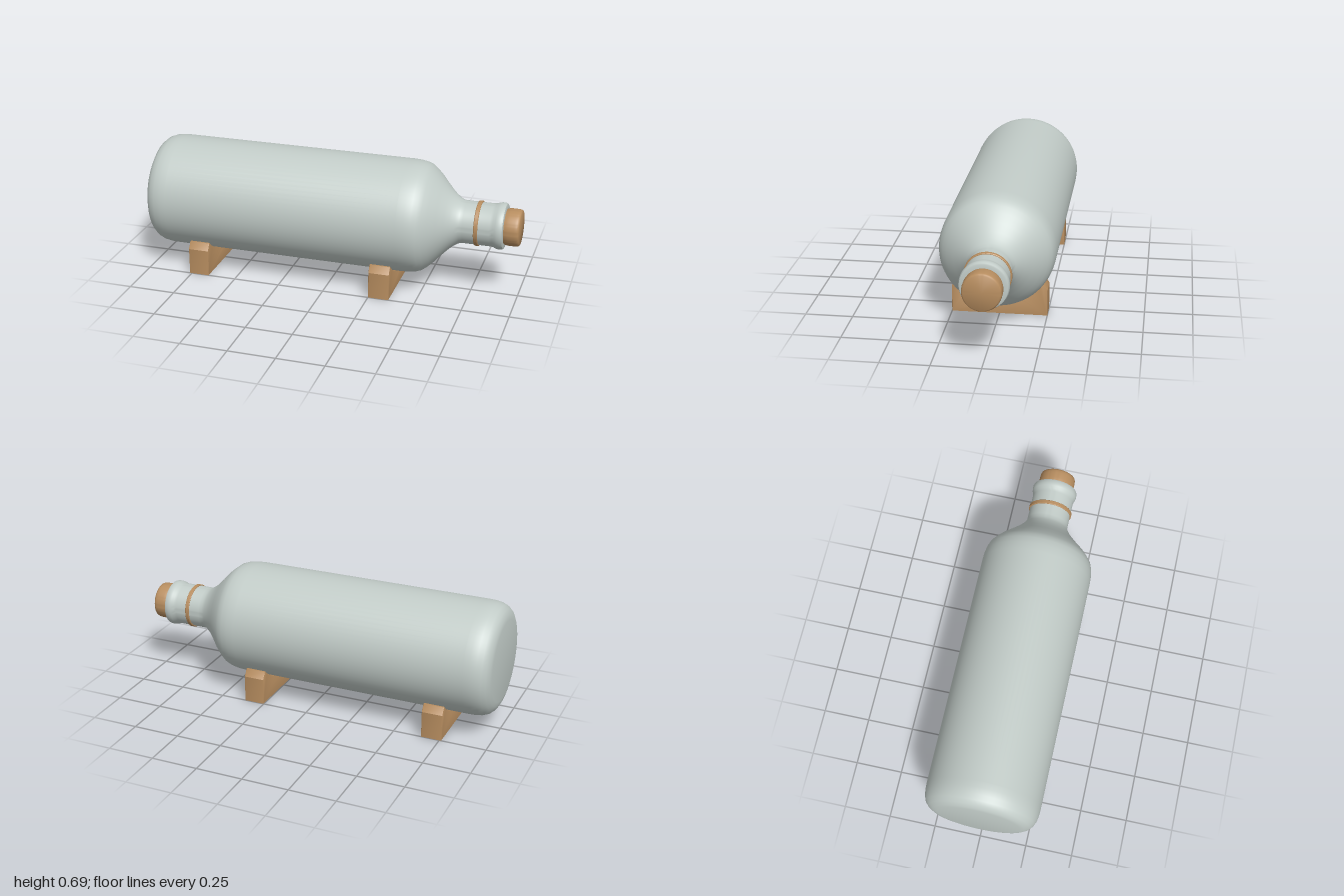
import * as THREE from 'three';
import { toCreasedNormals } from 'three/addons/utils/BufferGeometryUtils.js';

const AXIS_Y = 0.39;

export function createModel() {
  const model = new THREE.Group();
  model.name = 'bottleOnCradles';
  const glass = new THREE.MeshStandardMaterial({ color: 0xc2ccc8 });
  glass.name = 'paleGreyGreen';
  const wood = new THREE.MeshStandardMaterial({ color: 0xb88e60 });
  wood.name = 'warmWood';

  // Turned part lying along x; each profile point is [x, radius]
  function turned(name, profile, material, crease = 0.7) {
    const points = profile.map(([x, r]) => new THREE.Vector2(r, x));
    const geometry = toCreasedNormals(new THREE.LatheGeometry(points, 72), crease);
    geometry.rotateZ(-Math.PI / 2);
    const mesh = new THREE.Mesh(geometry, material);
    mesh.name = name;
    mesh.position.y = AXIS_Y;
    model.add(mesh);
  }

  // Bottle: flat base, rounded heel, body, sloping shoulder, neck and lip
  turned('bottle', [
    [-1, 0], [-1, 0.215], [-0.995, 0.24], [-0.982, 0.265], [-0.962, 0.283],
    [-0.935, 0.294], [-0.9, 0.299], [-0.87, 0.3], [0.4, 0.3], [0.44, 0.298],
    [0.475, 0.292], [0.5, 0.283], [0.522, 0.266], [0.55, 0.241], [0.585, 0.202],
    [0.62, 0.165], [0.645, 0.142], [0.67, 0.124], [0.69, 0.114], [0.71, 0.113],
    [0.85, 0.113], [0.866, 0.115], [0.88, 0.121], [0.892, 0.123], [0.908, 0.123],
    [0.917, 0.119], [0.92, 0.112], [0.92, 0.085],
  ], glass);

  // Thin band around the neck
  turned('neckBand', [
    [0.768, 0.11], [0.768, 0.116], [0.771, 0.119], [0.787, 0.119], [0.79, 0.116], [0.79, 0.11],
  ], wood);

  // Stopper with softened rims
  turned('cork', [
    [0.9, 0.09], [0.918, 0.093], [0.93, 0.096], [0.945, 0.098], [0.975, 0.098],
    [0.988, 0.097], [0.996, 0.094], [1, 0.088], [1, 0],
  ], wood);

  // Cradle outline with a circular saddle and cut corners
  const bevel = 0.004, width = 0.112;
  const radius = 0.302 + bevel, top = 0.18 - bevel, half = 0.25 - bevel;
  const saddle = Math.asin((AXIS_Y - top) / radius);
  const outline = new THREE.Shape();
  outline.moveTo(-half, bevel);
  outline.lineTo(half, bevel);
  outline.lineTo(half, 0.142);
  outline.lineTo(radius * Math.cos(saddle) + 0.006, top);
  outline.absarc(0, AXIS_Y, radius, -saddle, -Math.PI + saddle, true);
  outline.lineTo(-radius * Math.cos(saddle) - 0.006, top);
  outline.lineTo(-half, 0.142);
  outline.closePath();
  const cradle = new THREE.ExtrudeGeometry(outline, {
    depth: width - 2 * bevel, bevelEnabled: true, bevelSize: bevel,
    bevelThickness: bevel, bevelSegments: 2, curveSegments: 32,
  });
  cradle.translate(0, 0, -width / 2 + bevel);
  cradle.rotateY(Math.PI / 2);
  const cradleGeometry = toCreasedNormals(cradle, 0.5);

  for (const [name, x] of [['rearCradle', -0.706], ['neckEndCradle', 0.306]]) {
    const mesh = new THREE.Mesh(cradleGeometry, wood);
    mesh.name = name;
    mesh.position.x = x;
    model.add(mesh);
  }
  return model;
}
